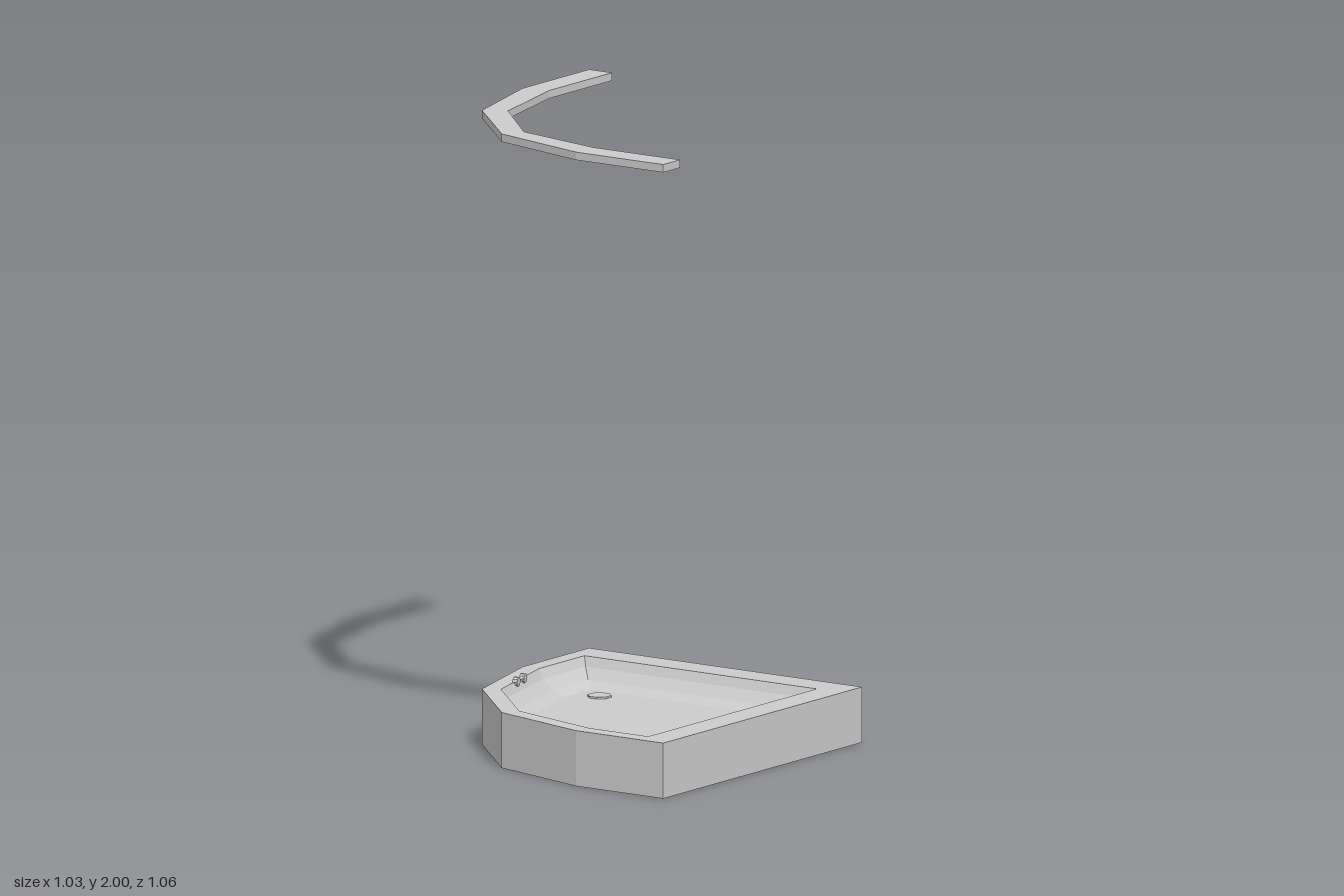
import * as THREE from 'three';

// Plan outline [x, z]: square back-right corner, faceted curve round the front left
const OUTLINE = [
  [-0.52, -0.53], [0.515, -0.53], [0.515, 0.53], [0.185, 0.53],
  [-0.165, 0.435], [-0.425, 0.175], [-0.52, -0.175],
];
// Rim width along each edge: back, right, then the curved side
const RIM = [0.105, 0.097, 0.057, 0.057, 0.057, 0.057, 0.057];
const RIM_Y = 0.175;

const material = () => new THREE.MeshStandardMaterial({
  color: 0xcccccc, flatShading: true, side: THREE.DoubleSide,
});

// Moves every edge of the outline inward by its own distance
function inset(distances) {
  const n = OUTLINE.length;
  const lines = OUTLINE.map(([x, z], i) => {
    const [x2, z2] = OUTLINE[(i + 1) % n];
    const len = Math.hypot(x2 - x, z2 - z);
    const nx = -(z2 - z) / len, nz = (x2 - x) / len;
    return { nx, nz, c: nx * x + nz * z + distances[i] };
  });
  return lines.map((b, i) => {
    const a = lines[(i + n - 1) % n];
    const det = a.nx * b.nz - a.nz * b.nx;
    return [(a.c * b.nz - b.c * a.nz) / det, (a.nx * b.c - b.nx * a.c) / det];
  });
}

// Joins successive rings with quads and closes the last one with a fan
function trayGeometry(rings) {
  const pos = [];
  const n = OUTLINE.length;
  for (let r = 0; r + 1 < rings.length; r++) {
    const A = rings[r], B = rings[r + 1];
    for (let i = 0; i < n; i++) {
      const j = (i + 1) % n;
      pos.push(...A[i], ...B[i], ...A[j], ...A[j], ...B[i], ...B[j]);
    }
  }
  const floor = rings[rings.length - 1];
  for (let i = 1; i + 1 < n; i++) pos.push(...floor[0], ...floor[i + 1], ...floor[i]);
  const geo = new THREE.BufferGeometry();
  geo.setAttribute('position', new THREE.Float32BufferAttribute(pos, 3));
  geo.computeVertexNormals();
  return geo;
}

export function createModel() {
  const group = new THREE.Group();
  const add = (name, geometry) => {
    const mesh = new THREE.Mesh(geometry, material());
    mesh.name = name;
    group.add(mesh);
    return mesh;
  };
  const ring = (y, extra) => (extra === undefined ? OUTLINE : inset(RIM.map((d) => d + extra)))
    .map(([x, z]) => [x, y, z]);

  // Tray shell, open underneath: skirt, rim, sloping basin, floor
  add('showerTray', trayGeometry([
    ring(0), ring(RIM_Y), ring(RIM_Y, 0),
    ring(0.145, 0.015), ring(0.112, 0.047), ring(0.095, 0.092),
  ]));

  // Drain cover
  const drain = new THREE.CylinderGeometry(0.038, 0.038, 0.012, 8);
  drain.rotateY(Math.PI / 8);
  add('drain', drain).position.set(-0.285, 0.095, -0.255);

  // Overhead rail following the curved side
  const rail = [
    ...OUTLINE.slice(2), [-0.52, -0.53],
    [-0.433, -0.53], [-0.433, -0.195], [-0.355, 0.135], [-0.13, 0.367], [0.185, 0.44], [0.515, 0.44],
  ];
  const shape = new THREE.Shape(rail.map(([x, z]) => new THREE.Vector2(x, -z)));
  const railGeo = new THREE.ExtrudeGeometry(shape, { depth: 0.025, bevelEnabled: false });
  railGeo.rotateX(-Math.PI / 2);
  add('topRail', railGeo).position.y = 1.975;

  // Pair of small rollers on the inner edge of the curved rim
  const edgeAngle = Math.atan2(0.095, 0.35);
  for (const [x, z] of [[-0.418, -0.035], [-0.404, 0.021]]) {
    const roller = new THREE.CylinderGeometry(0.015, 0.015, 0.016, 10);
    roller.rotateZ(Math.PI / 2);
    roller.rotateY(edgeAngle);
    add('roller', roller).position.set(x, RIM_Y, z);
  }
  return group;
}
